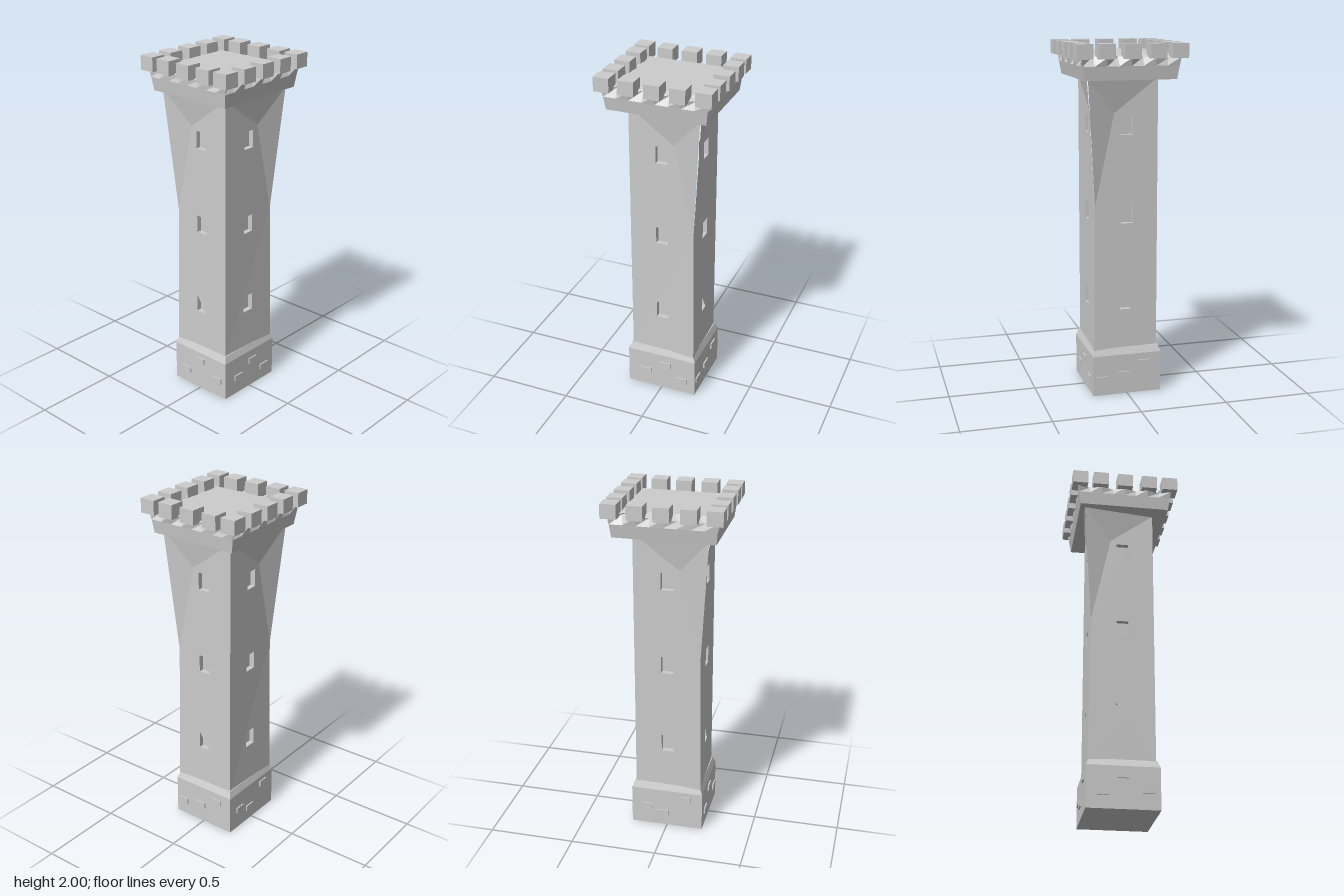
import * as THREE from 'three';
import { mergeGeometries } from 'three/addons/utils/BufferGeometryUtils.js';

const stone = new THREE.MeshStandardMaterial({ color: 0xcccccc, flatShading: true });
stone.name = 'stone';

function fromPoints(points) {
  const g = new THREE.BufferGeometry();
  g.setAttribute('position', new THREE.Float32BufferAttribute(points.flat(), 3));
  g.computeVertexNormals();
  return g;
}

function part(name, geometry, parent) {
  const mesh = new THREE.Mesh(geometry, stone);
  mesh.name = name;
  parent.add(mesh);
  return mesh;
}

// Skin rings that run counter-clockwise seen from above, listed bottom to top, with caps
function loft(rings) {
  const out = [], n = rings[0].length, last = rings[rings.length - 1];
  const y0 = rings[0][0][1], y1 = last[0][1];
  for (let i = 0; i < n; i++) {
    const j = (i + 1) % n;
    for (let r = 0; r + 1 < rings.length; r++) {
      const a = rings[r], b = rings[r + 1];
      out.push(a[i], a[j], b[j], a[i], b[j], b[i]);
    }
    out.push([0, y0, 0], rings[0][j], rings[0][i], [0, y1, 0], last[i], last[j]);
  }
  return fromPoints(out);
}

// Rectangular ring with several points along each side
function ring(hx, y, hz, steps = 1, wobble = () => [0, 0]) {
  const corners = [[1, 1], [1, -1], [-1, -1], [-1, 1]], pts = [];
  for (let s = 0; s < 4; s++) {
    const a = corners[s], b = corners[(s + 1) % 4];
    for (let k = 0; k < steps; k++) {
      const t = k / steps, [inset, lift] = wobble(s, k);
      let x = (a[0] + (b[0] - a[0]) * t) * hx;
      let z = (a[1] + (b[1] - a[1]) * t) * hz;
      if (a[0] === b[0]) x -= a[0] * inset; else z -= a[1] * inset;
      pts.push([x, y + lift, z]);
    }
  }
  return pts;
}

const WINDOW = 0.035;   // half width
const LOW = 0.26, MID = 1.1, TOP = 1.81;

function panel(outline, windows) {
  const shape = new THREE.Shape(outline.map(p => new THREE.Vector2(...p)));
  for (const y of windows) {
    const hole = new THREE.Path();
    hole.moveTo(-WINDOW, y - 0.05).lineTo(-WINDOW, y + 0.05);
    hole.lineTo(WINDOW, y + 0.05).lineTo(WINDOW, y - 0.05).closePath();
    shape.holes.push(hole);
  }
  return new THREE.ShapeGeometry(shape).toNonIndexed();
}

// Window recess: an inside-out box without its front
function pocket(y) {
  const g = new THREE.BoxGeometry(WINDOW * 2, 0.1, 0.03).translate(0, y, -0.015);
  const idx = Array.from(g.index.array);
  idx.splice(24, 6);
  g.setIndex(idx.reverse());
  return g.toNonIndexed();
}

// One wall: half width w, distance d from the axis, flaring out at the -u top corner
function wall(w, d, swap) {
  const bMid = [-w, MID], aLow = [w, LOW], bLow = [-w, LOW];
  const upper = mergeGeometries([
    panel([bMid, aLow, [w, TOP], [-0.07, 1.62]], [1.05, 1.55]), pocket(1.05), pocket(1.55)]);
  // lower triangle leans outward and sideways towards its free corner
  const lower = mergeGeometries([panel([bMid, bLow, aLow], [0.55]), pocket(0.55)]);
  const p = lower.attributes.position;
  for (let i = 0; i < p.count; i++) {
    const k = 1 - (p.getX(i) + w) / (2 * w) - (p.getY(i) - LOW) / (MID - LOW);
    p.setXYZ(i, p.getX(i) - 0.01 * k, p.getY(i), p.getZ(i) + 0.01 * k);
  }
  const bTop = [-w - 0.05, TOP, 0.055], apex = [-0.07, 1.62, 0];
  const flare = fromPoints([bTop, apex, [w, TOP, 0], bTop, [...bMid, 0], apex]);
  for (const g of [upper, lower]) g.deleteAttribute('uv');
  const g = mergeGeometries([upper, lower, flare]).translate(0, 0, d);
  if (swap) {
    // mirror across the diagonal plane, keeping faces outward
    const q = g.attributes.position, pts = [];
    for (let i = 0; i < q.count; i += 3)
      for (const j of [i, i + 2, i + 1]) pts.push([q.getZ(j), q.getY(j), q.getX(j)]);
    return fromPoints(pts);
  }
  g.computeVertexNormals();
  return g;
}

export function createModel() {
  const tower = new THREE.Group();
  tower.name = 'tower';

  // Plinth with a bevelled top
  part('plinth', loft([ring(0.2, 0, 0.213), ring(0.2, 0.235, 0.213), ring(0.186, 0.275, 0.197)]), tower);

  // Twisted shaft: two walls, repeated by a half turn
  const front = wall(0.18, 0.19, false), side = wall(0.19, 0.18, true);
  for (let h = 0; h < 2; h++) {
    part(h ? 'backWall' : 'frontWall', front, tower).rotation.y = h * Math.PI;
    part(h ? 'rightWall' : 'leftWall', side, tower).rotation.y = h * Math.PI;
  }

  // Raised stones on the plinth: [position along the side, height]
  const stones = {
    front: [[-0.11, 0.09], [0, 0.185], [0.135, 0.105]],
    left: [[-0.025, 0.17], [-0.13, 0.085], [0.1, 0.105]],
    back: [[0.15, 0.095], [0.02, 0.115], [-0.1, 0.178]],
    right: [[0.113, 0.19], [-0.12, 0.122], [-0.023, 0.085]],
  };
  for (const [face, list] of Object.entries(stones)) {
    const alongX = face === 'front' || face === 'back';
    const sign = face === 'front' || face === 'left' ? 1 : -1;
    for (const [u, y] of list) {
      const m = part(face + 'Stone', new THREE.BoxGeometry(
        alongX ? 0.065 : 0.016, 0.035, alongX ? 0.016 : 0.065), tower);
      m.position.set(alongX ? u : sign * 0.2, y, alongX ? sign * 0.213 : u);
    }
  }

  // Overhanging collar with a worn rim and a raised floor
  const worn = (s, k) => {
    const n = Math.sin(s * 5.3 + k * 2.7);
    return k % 2 ? [0.03 + 0.012 * n, 0.008 * n] : [k ? 0.004 * n : 0, 0];
  };
  part('collar', loft([
    ring(0.258, 1.805, 0.283, 8),
    ring(0.27, 1.88, 0.292, 8),
    ring(0.277, 1.925, 0.3, 8, worn),
    ring(0.215, 1.945, 0.215, 8),
  ]), tower);

  // Battlements around the rim
  const xs = [-0.265, -0.143, 0, 0.143, 0.265], zs = [-0.284, -0.142, 0, 0.145, 0.284];
  const block = new THREE.BoxGeometry(0.089, 0.08, 0.089);
  xs.forEach((x, i) => zs.forEach((z, j) => {
    if (i % 4 && j % 4) return;
    part('merlon', block, tower).position.set(x, 1.96, z);
  }));
  return tower;
}
